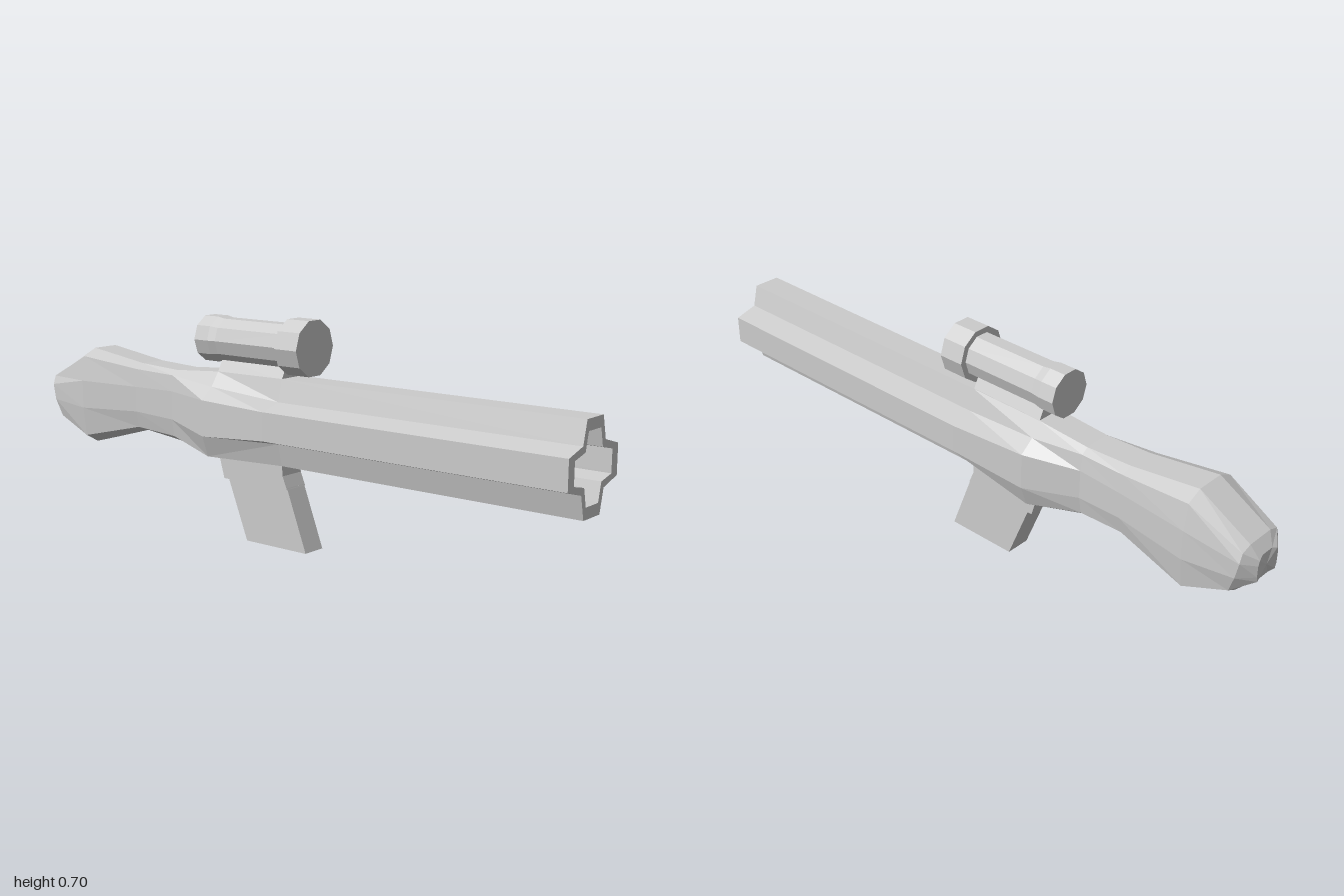
import * as THREE from 'three';

const material = new THREE.MeshStandardMaterial({ color: 0xcccccc, flatShading: true });

function add(group, name, geometry) {
  const mesh = new THREE.Mesh(geometry, material);
  mesh.name = name;
  group.add(mesh);
  return mesh;
}

// Mirrors a right-hand half section [x, y, z?] (top to bottom) into a closed ring
function ring(z, half) {
  const right = half.map(([x, y, pz = z]) => new THREE.Vector3(x, y, pz));
  const left = right.map((p) => new THREE.Vector3(-p.x, p.y, p.z)).reverse();
  return [...right, ...left];
}

// Skins a list of rings and closes both ends around their centres
function loft(rings) {
  const pos = [];
  const tri = (...pts) => pts.forEach((p) => pos.push(p.x, p.y, p.z));
  const n = rings[0].length;
  const centre = (r) => r.reduce((c, p) => c.add(p), new THREE.Vector3()).divideScalar(n);
  const first = rings[0], last = rings[rings.length - 1];
  const c0 = centre(first), c1 = centre(last);
  for (let i = 0; i < n; i++) {
    const j = (i + 1) % n;
    for (let s = 0; s < rings.length - 1; s++) {
      const a = rings[s], b = rings[s + 1];
      tri(a[i], a[j], b[j]);
      tri(a[i], b[j], b[i]);
    }
    tri(c0, first[j], first[i]);
    tri(c1, last[i], last[j]);
  }
  const g = new THREE.BufferGeometry();
  g.setAttribute('position', new THREE.Float32BufferAttribute(pos, 3));
  g.computeVertexNormals();
  return g;
}

// Side outline given as [z, y], extruded to a width centred on x = 0
function sidePlate(points, width) {
  const shape = new THREE.Shape(points.map(([z, y]) => new THREE.Vector2(-z, y)));
  const g = new THREE.ExtrudeGeometry(shape, { depth: width, bevelEnabled: false });
  return g.translate(0, 0, -width / 2).rotateY(Math.PI / 2);
}

export function createModel() {
  const model = new THREE.Group();
  model.name = 'rifle';

  // Cross-shaped hollow barrel flowing into the receiver, neck and butt
  const bore = [[0.033, 0.487], [0.046, 0.434], [0.1, 0.421], [0.1, 0.355], [0.046, 0.343], [0.033, 0.289]];
  const cross = [[0.043, 0.519], [0.06, 0.452], [0.131, 0.432], [0.131, 0.345], [0.06, 0.325], [0.043, 0.256]];
  add(model, 'barrelAndStock', loft([
    ring(0, bore),
    ring(1, bore),
    ring(1, cross),
    ring(0, cross),
    ring(-0.255, [[0.043, 0.517], [0.073, 0.473], [0.117, 0.437], [0.117, 0.325], [0.093, 0.259], [0.043, 0.257]]),
    ring(-0.43, [[0.043, 0.505], [0.064, 0.49], [0.07, 0.44], [0.07, 0.35], [0.06, 0.295], [0.04, 0.281]]),
    ring(-0.58, [[0.043, 0.512], [0.075, 0.497], [0.081, 0.44], [0.081, 0.36], [0.07, 0.308], [0.04, 0.298, -0.56]]),
    ring(-0.805, [[0.045, 0.543], [0.093, 0.52], [0.105, 0.44], [0.105, 0.35], [0.093, 0.256], [0.045, 0.229]]),
    ring(-0.97, [[0.045, 0.449], [0.078, 0.438], [0.088, 0.41], [0.088, 0.36, -0.96], [0.078, 0.305, -0.94], [0.045, 0.288, -0.94]]),
    ring(-1, [[0.022, 0.417, -0.995], [0.04, 0.41], [0.045, 0.395], [0.045, 0.36], [0.04, 0.343], [0.022, 0.335, -0.99]]),
  ]));

  // Pistol grip with a slightly wider collar
  add(model, 'gripCollar', sidePlate([[0, 0.27], [0.003, 0.225], [0.02, 0.185], [-0.233, 0.185], [-0.255, 0.262], [-0.255, 0.27]], 0.086));
  add(model, 'grip', sidePlate([[0.018, 0.19], [0.09, 0], [-0.143, 0], [-0.218, 0.19]], 0.08));

  // Ten-sided sight tube with stepped front bell and flared rear
  const profile = [[0, -0.325], [0.073, -0.325], [0.073, -0.272], [0.068, -0.245], [0.068, 0.008], [0.0865, 0.008], [0.0865, 0.09], [0, 0.09]];
  const scope = new THREE.LatheGeometry(profile.map(([r, z]) => new THREE.Vector2(r, z)), 10, Math.PI / 2);
  add(model, 'scope', scope.rotateX(Math.PI / 2).translate(0, 0.6135, 0));

  // Tapered rail joining sight and receiver
  const mount = [[0.022, 0.556], [0.043, 0.515]];
  add(model, 'scopeMount', loft([ring(0, mount), ring(-0.255, mount)]));

  return model;
}
